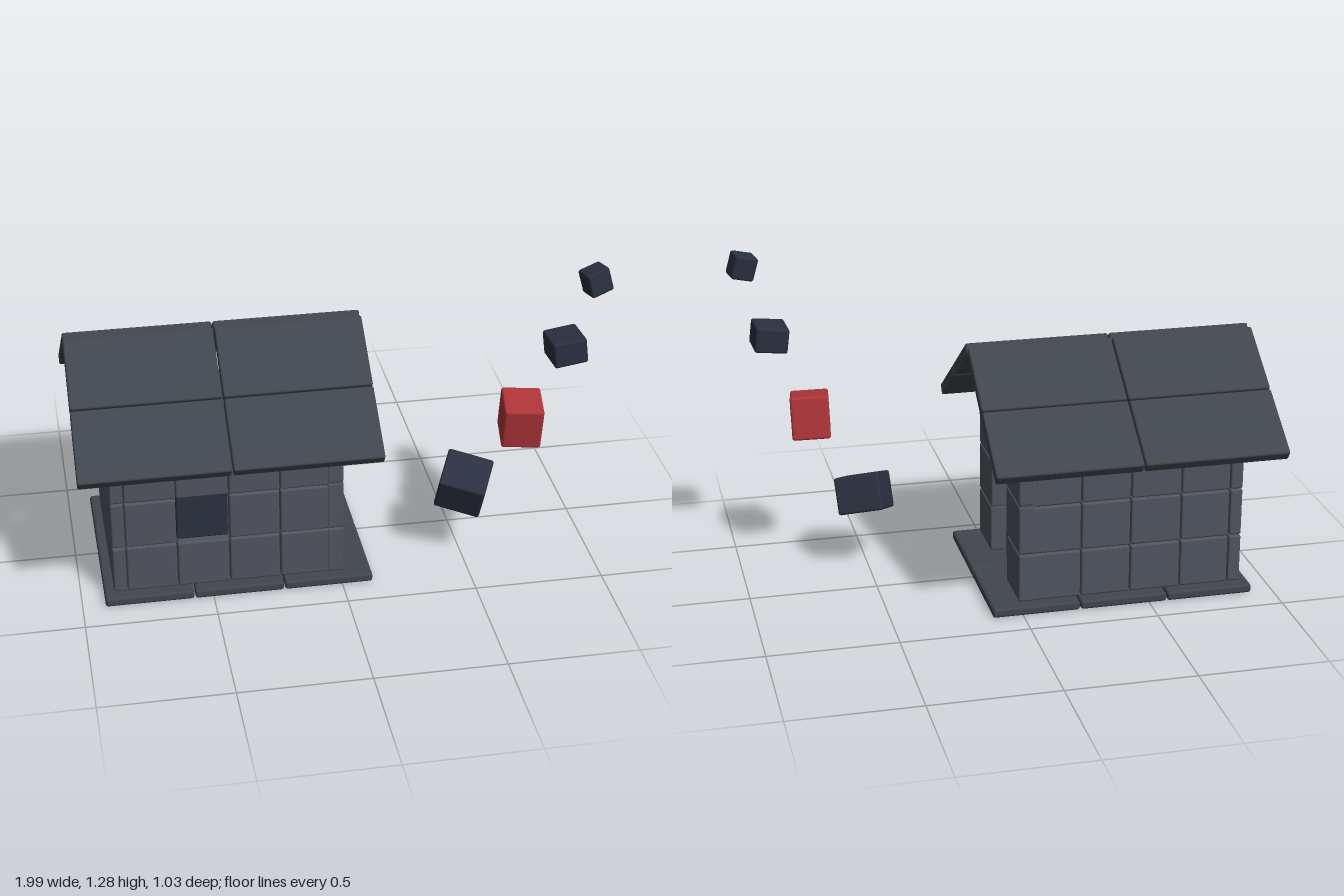
import * as THREE from 'three';
import { RoundedBoxGeometry } from 'three/addons/geometries/RoundedBoxGeometry.js';

const mat = (color) => new THREE.MeshStandardMaterial({ color });
const STONE = mat(0x50545e);
const SLATE = mat(0x40464d);
const DARK = mat(0x2a3040);
const RED = mat(0xb0353a);
const GAP = 0.004;

// Softly bevelled block from its size and centre
function block(parent, name, size, centre, material, radius = 0.008) {
  const r = Math.min(radius, Math.min(...size) * 0.3);
  const mesh = new THREE.Mesh(new RoundedBoxGeometry(...size, 2, r), material);
  mesh.name = name;
  mesh.position.set(...centre);
  parent.add(mesh);
  return mesh;
}

// Block filling the space between two corners, less a narrow joint
function span(parent, name, lo, hi, material, radius) {
  const size = lo.map((v, i) => hi[i] - v - GAP);
  const centre = lo.map((v, i) => (hi[i] + v) / 2);
  return block(parent, name, size, centre, material, radius);
}

function group(parent, name) {
  const g = new THREE.Group();
  g.name = name;
  parent.add(g);
  return g;
}

export function createModel() {
  const model = new THREE.Group();
  model.name = 'blockHouse';

  // Floor slabs, three by two
  const floor = group(model, 'floor');
  const floorX = [-0.915, -0.572, -0.226, 0.12];
  for (let i = 0; i < 3; i++) {
    for (const [z0, z1] of [[-0.387, 0], [0, 0.387]]) {
      span(floor, 'floorSlab', [floorX[i], 0.005, z0], [floorX[i + 1], 0.045, z1], SLATE, 0.012);
    }
  }

  // Long walls: three courses of blocks, with a window in the front one
  const rows = [0.045, 0.24, 0.433, 0.605];
  const cols = [-0.825, -0.63, -0.43, -0.235, 0.008];
  for (const side of [1, -1]) {
    const wall = group(model, side > 0 ? 'frontWall' : 'backWall');
    for (let r = 0; r < 3; r++) {
      for (let c = 0; c < 4; c++) {
        if (side > 0 && r === 1 && c === 1) continue;
        const z0 = side > 0 ? 0.295 : -0.347;
        span(wall, 'wallBlock', [cols[c], rows[r], z0], [cols[c + 1], rows[r + 1], z0 + 0.052], STONE);
      }
    }
  }
  span(model, 'windowPane', [-0.63, 0.24, 0.295], [-0.43, 0.433, 0.325], DARK);

  // Right end wall, three blocks to a course
  const endWall = group(model, 'rightWall');
  for (let r = 0; r < 3; r++) {
    for (let c = 0; c < 3; c++) {
      const z = -0.347 + c * 0.2313;
      span(endWall, 'wallBlock', [-0.878, rows[r], z], [-0.825, rows[r + 1], z + 0.2313], STONE);
    }
  }

  // Left end wall with doorway and lintel
  const doorWall = group(model, 'leftWall');
  for (const s of [1, -1]) {
    [[0.045, 0.242, 0.138], [0.242, 0.442, 0.124]].forEach(([y0, y1, inner]) => {
      const [z0, z1] = s > 0 ? [inner, 0.349] : [-0.349, -inner];
      span(doorWall, 'doorJamb', [-0.055, y0, z0], [0.012, y1, z1], STONE);
    });
  }
  span(doorWall, 'lintel', [-0.055, 0.442, -0.349], [0.012, 0.607, 0.349], STONE);
  span(doorWall, 'doorPanel', [-0.095, 0.045, -0.145], [-0.062, 0.45, 0.145], DARK);
  span(doorWall, 'doorBlock', [-0.064, 0.045, -0.05], [-0.035, 0.247, 0.072], DARK);

  // Stepped gables above both end walls
  const steps = [[0.61, 0.682, 0.337], [0.688, 0.762, 0.226], [0.768, 0.834, 0.124], [0.838, 0.894, 0.034]];
  for (const [name, x0, x1] of [['rightGable', -0.878, -0.815], ['leftGable', -0.055, 0.01]]) {
    const gable = group(model, name);
    for (const [y0, y1, half] of steps) {
      span(gable, 'gableStep', [x0, y0, -half], [x1, y1, half], STONE);
    }
  }

  // Roof: four panels on each slope
  const pitch = THREE.MathUtils.degToRad(34.5);
  for (const s of [1, -1]) {
    const slope = group(model, s > 0 ? 'frontRoof' : 'backRoof');
    for (const x of [-0.7155, -0.147]) {
      for (const d of [0.152, 0.455]) {
        const panel = block(slope, 'roofPanel', [0.563, 0.046, 0.298],
          [x, 0.963 - d * Math.sin(pitch), s * (0.008 + d * Math.cos(pitch))], SLATE);
        panel.rotation.x = s * pitch;
      }
    }
  }

  // Trail of tumbling blocks rising beside the doorway
  const trail = group(model, 'floatingBlocks');
  const tumbling = [
    [[0.182, 0.148, 0.185], [0.507, 0.315, 0.224], [20, -24, -4], DARK],
    [[0.15, 0.172, 0.16], [0.7, 0.633, 0.305], [9, -8, -1], RED],
    [[0.13, 0.1, 0.14], [0.843, 0.953, 0.357], [-1, 3, 7], DARK],
    [[0.092, 0.095, 0.082], [0.934, 1.233, 0.389], [-5, 12, 16], DARK],
  ];
  for (const [size, centre, turn, material] of tumbling) {
    const b = block(trail, 'floatingBlock', size, centre, material, 0.01);
    b.rotation.set(...turn.map(THREE.MathUtils.degToRad));
  }
  return model;
}
